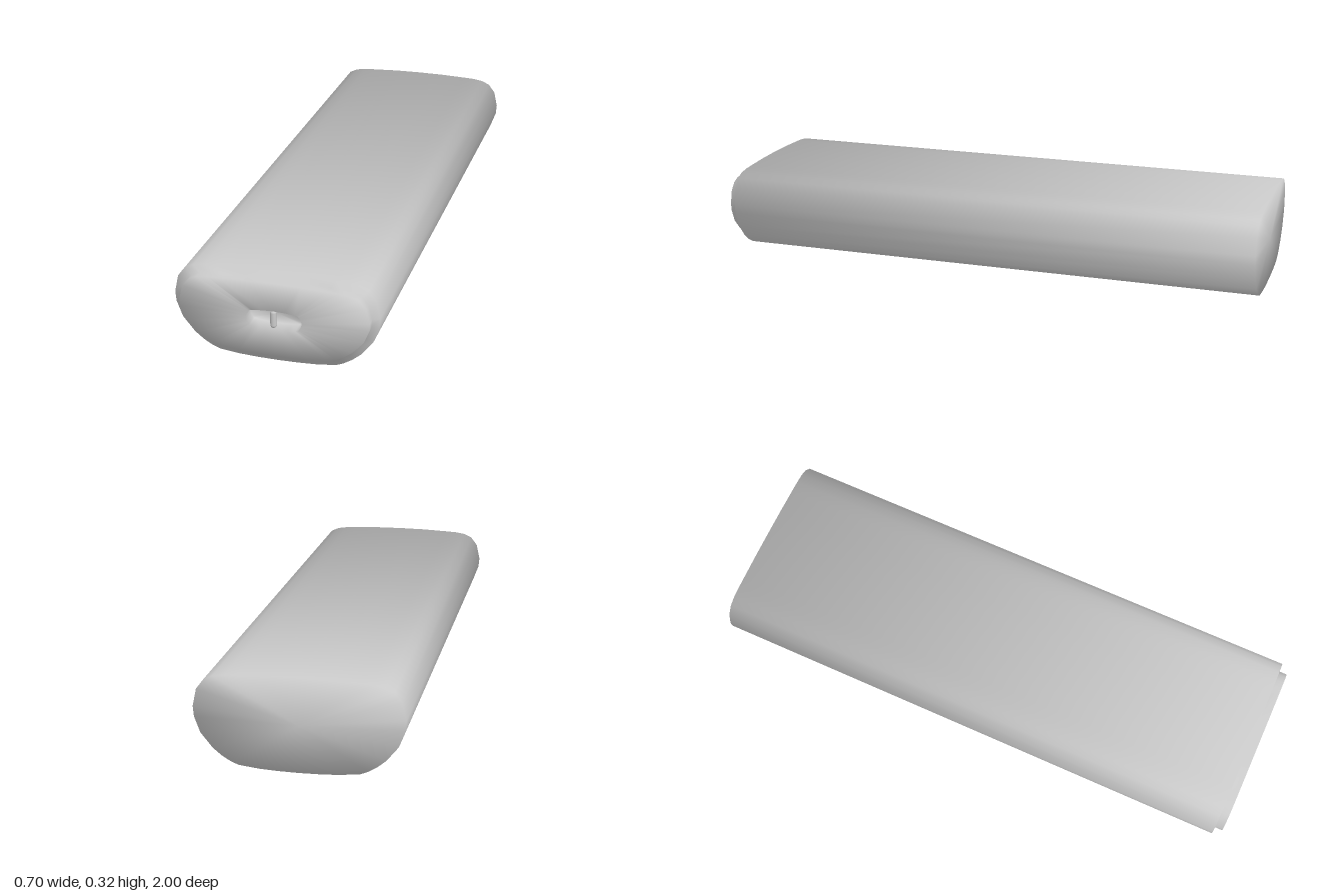
import * as THREE from 'three';

// Right half of the body's cross-section, from top centre down to bottom centre
const HALF = [
  [0, 0.325], [0.1, 0.324], [0.2, 0.32], [0.24, 0.318], [0.28, 0.312], [0.31, 0.298],
  [0.335, 0.265], [0.348, 0.205], [0.345, 0.17], [0.325, 0.115], [0.285, 0.065],
  [0.255, 0.04], [0.225, 0.022], [0.2, 0.012], [0.13, 0.004], [0.07, 0.001], [0, 0],
];
const OUTLINE = [...HALF, ...HALF.slice(1, -1).reverse().map(([x, y]) => [-x, y])];
const CENTRE_Y = 0.162;

// Stadium-shaped slot point matching an outline point
function slotPoint([x, y]) {
  const a = Math.atan2((y - CENTRE_Y) / 0.162, x / 0.348);
  const straight = THREE.MathUtils.clamp(x * 0.28, -0.062, 0.062);
  return [straight + 0.033 * Math.cos(a), CENTRE_Y + 0.034 * Math.sin(a)];
}

// Skin a list of equal-length rings, ordered from back to front, with shared vertices
function loft(rings) {
  const n = OUTLINE.length;
  const pos = [], index = [];
  rings.forEach(({ z, map }) => OUTLINE.forEach((p) => pos.push(...map(p), z)));
  for (let r = 0; r < rings.length - 1; r++) {
    for (let j = 0; j < n; j++) {
      const a = r * n + j, b = r * n + (j + 1) % n, c = b + n, d = a + n;
      index.push(a, d, c, a, c, b);
    }
  }
  const geo = new THREE.BufferGeometry();
  geo.setAttribute('position', new THREE.Float32BufferAttribute(pos, 3));
  geo.setIndex(index);
  geo.computeVertexNormals();
  // Soft shading at the ends: tilt the rim normals halfway toward the caps
  const normal = geo.attributes.normal;
  const v = new THREE.Vector3();
  rings.forEach(({ tilt }, r) => {
    if (!tilt) return;
    for (let j = r * n; j < (r + 1) * n; j++) {
      v.fromBufferAttribute(normal, j).setZ(0).normalize().setZ(tilt).normalize();
      normal.setXYZ(j, v.x, v.y, v.z);
    }
  });
  return geo;
}

export function createModel() {
  const group = new THREE.Group();
  const material = new THREE.MeshStandardMaterial({ color: 0xcccccc });

  const outer = (p) => p;
  const inset = ([x, y]) => [x * 0.925, 0.031 + y * 0.815];
  const middle = () => [0, CENTRE_Y];

  // Body with closed back, stepped front plate and recessed slot
  const body = new THREE.Mesh(loft([
    { z: -1, map: middle },
    { z: -1, map: outer, tilt: -1 },
    { z: 0.97, map: outer, tilt: 1 },
    { z: 0.97, map: inset },
    { z: 1, map: inset, tilt: 1 },
    { z: 1, map: slotPoint },
    { z: 0.95, map: slotPoint },
    { z: 0.95, map: middle },
  ]), material);
  body.name = 'body';
  group.add(body);

  // Upright bar across the slot
  const bar = new THREE.Mesh(new THREE.CapsuleGeometry(0.011, 0.044, 4, 16), material);
  bar.name = 'slotBar';
  bar.position.set(-0.004, CENTRE_Y, 0.986);
  group.add(bar);

  return group;
}
